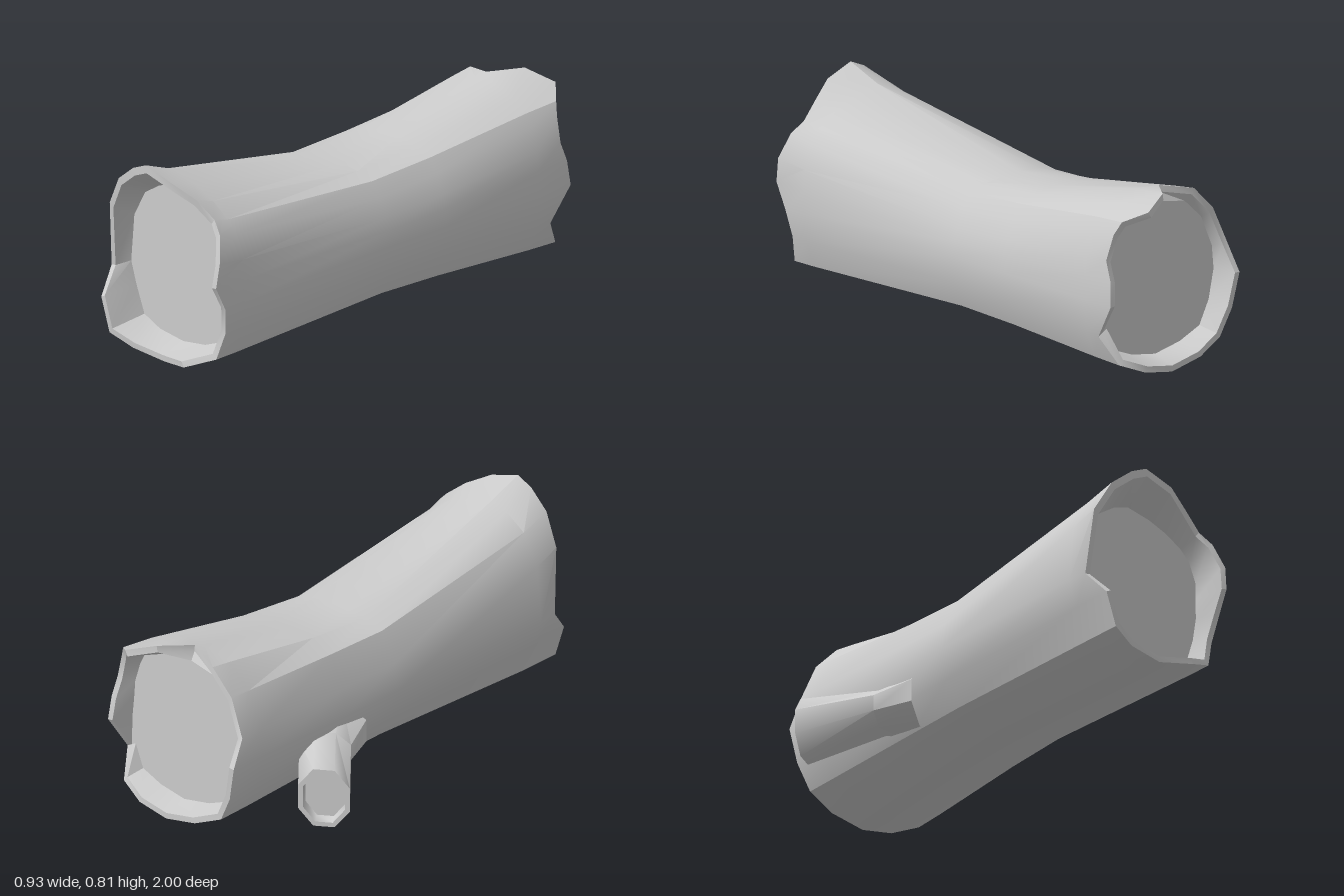
import * as THREE from 'three';
import { toCreasedNormals } from 'three/addons/utils/BufferGeometryUtils.js';

const material = new THREE.MeshStandardMaterial({ color: 0xcccccc, side: THREE.DoubleSide });

// Outlines of the trunk, clockwise from the top: [x, y, z of the broken edge]
const FRONT = [
  [0.07, 0.805, 0.97], [0.2, 0.765, 0.96], [0.3, 0.71, 0.92], [0.38, 0.645, 0.9], [0.43, 0.6, 0.92],
  [0.465, 0.5, 0.955], [0.46, 0.4, 0.97], [0.46, 0.3, 0.92], [0.44, 0.19, 0.9], [0.41, 0.08, 0.92],
  [0.29, 0.03, 0.98], [0.15, 0.01, 0.95], [0, 0.03, 0.97], [-0.1, 0.075, 1], [-0.145, 0.21, 1],
  [-0.18, 0.31, 0.91], [-0.16, 0.58, 0.94], [-0.09, 0.705, 0.96], [0, 0.775, 0.97],
];
const MIDDLE = [
  [0.07, 0.58], [0.16, 0.578], [0.25, 0.57], [0.33, 0.55], [0.37, 0.49], [0.405, 0.42], [0.42, 0.37],
  [0.43, 0.31], [0.42, 0.2], [0.38, 0.1], [0.28, 0.065], [0.14, 0.045], [0, 0.06], [-0.1, 0.1],
  [-0.165, 0.2], [-0.195, 0.32], [-0.175, 0.43], [-0.11, 0.55], [-0.02, 0.575],
];
const BACK = [
  [0.11, 0.72, -0.83], [0.2, 0.73, -0.95], [0.32, 0.69, -1], [0.395, 0.65, -0.93], [0.42, 0.6, -0.91],
  [0.45, 0.5, -0.9], [0.455, 0.42, -0.93], [0.465, 0.32, -0.94], [0.445, 0.18, -0.85],
  [0.4, 0.07, -0.92], [0.29, 0.025, -0.95], [0.15, 0, -0.95], [0, 0.03, -0.95],
  [-0.12, 0.08, -0.93], [-0.175, 0.19, -0.94], [-0.205, 0.33, -0.95], [-0.195, 0.44, -0.89],
  [-0.13, 0.59, -0.88], [-0.03, 0.69, -0.88],
];

const toRing = (outline) => outline.map((p) => new THREE.Vector3(...p));

// Section between the middle and one end, at a level z
const between = (end, t, z) => MIDDLE.map(([x, y], i) => new THREE.Vector3(
  THREE.MathUtils.lerp(x, end[i][0], t), THREE.MathUtils.lerp(y, end[i][1], t), z));

// Scales a ring about the trunk axis, keeping its z
const scaled = (ring, s) => ring.map((p) => new THREE.Vector3(
  0.13 + (p.x - 0.13) * s, 0.35 + (p.y - 0.35) * s, p.z));

// Ring collapsed to its centre, closing a floor
function centreOf(ring) {
  const c = new THREE.Vector3();
  ring.forEach((p) => c.addScaledVector(p, 1 / ring.length));
  return ring.map(() => c);
}

// Skin through consecutive rings, leaving out collapsed triangles
function loft(name, crease, rings) {
  const positions = [];
  const tri = (a, b, c) => {
    if (a.equals(b) || b.equals(c) || a.equals(c)) return;
    for (const p of [a, b, c]) positions.push(p.x, p.y, p.z);
  };
  for (let k = 0; k < rings.length - 1; k++) {
    const near = rings[k], far = rings[k + 1], n = near.length;
    for (let i = 0; i < n; i++) {
      const j = (i + 1) % n;
      tri(near[i], near[j], far[i]);
      tri(near[j], far[j], far[i]);
    }
  }
  const geometry = new THREE.BufferGeometry();
  geometry.setAttribute('position', new THREE.Float32BufferAttribute(positions, 3));
  const mesh = new THREE.Mesh(toCreasedNormals(geometry, crease), material);
  mesh.name = name;
  return mesh;
}

// Upright octagon across the branch
function branchRing(x, y, z, halfWidth, halfHeight) {
  return Array.from({ length: 8 }, (_, i) => {
    const a = ((i + 0.5) / 8) * Math.PI * 2;
    const w = Math.sin(a) * halfWidth;
    return new THREE.Vector3(x - 0.84 * w, y + Math.cos(a) * halfHeight, z + 0.54 * w);
  });
}

export function createModel() {
  const model = new THREE.Group();
  model.name = 'hollowLog';

  // Bark, narrow in the middle and curling in at the front edge
  const frontEdge = toRing(FRONT), backEdge = toRing(BACK);
  model.add(loft('bark', 0.5, [
    frontEdge, scaled(between(FRONT, 0.72, 0.82), 1.02), between(FRONT, 0, 0),
    between(BACK, 0.22, -0.3), between(BACK, 0.88, -0.78), backEdge,
  ]));

  // Hollow ends: shallow floor, inner wall and ragged rim
  const frontFloor = scaled(between(FRONT, 0.72, 0.84), 0.87);
  model.add(loft('frontHollow', 0.5, [
    centreOf(frontFloor), frontFloor, scaled(frontEdge, 0.93), frontEdge,
  ]));
  const backFloor = scaled(between(BACK, 0.9, -0.85), 0.87);
  model.add(loft('backHollow', 0.5, [
    backEdge, scaled(backEdge, 0.93), backFloor, centreOf(backFloor),
  ]));

  // Branch stub with a hollow tip, flaring into the trunk
  const branchFloor = branchRing(-0.36, 0.153, -0.595, 0.085, 0.105);
  model.add(loft('branchStub', 0.9, [
    centreOf(branchFloor), branchFloor,
    branchRing(-0.38, 0.148, -0.625, 0.09, 0.112),
    branchRing(-0.38, 0.148, -0.625, 0.11, 0.132),
    branchRing(-0.175, 0.2, -0.395, 0.11, 0.085),
    branchRing(-0.06, 0.215, -0.27, 0.175, 0.12),
  ]));
  return model;
}
